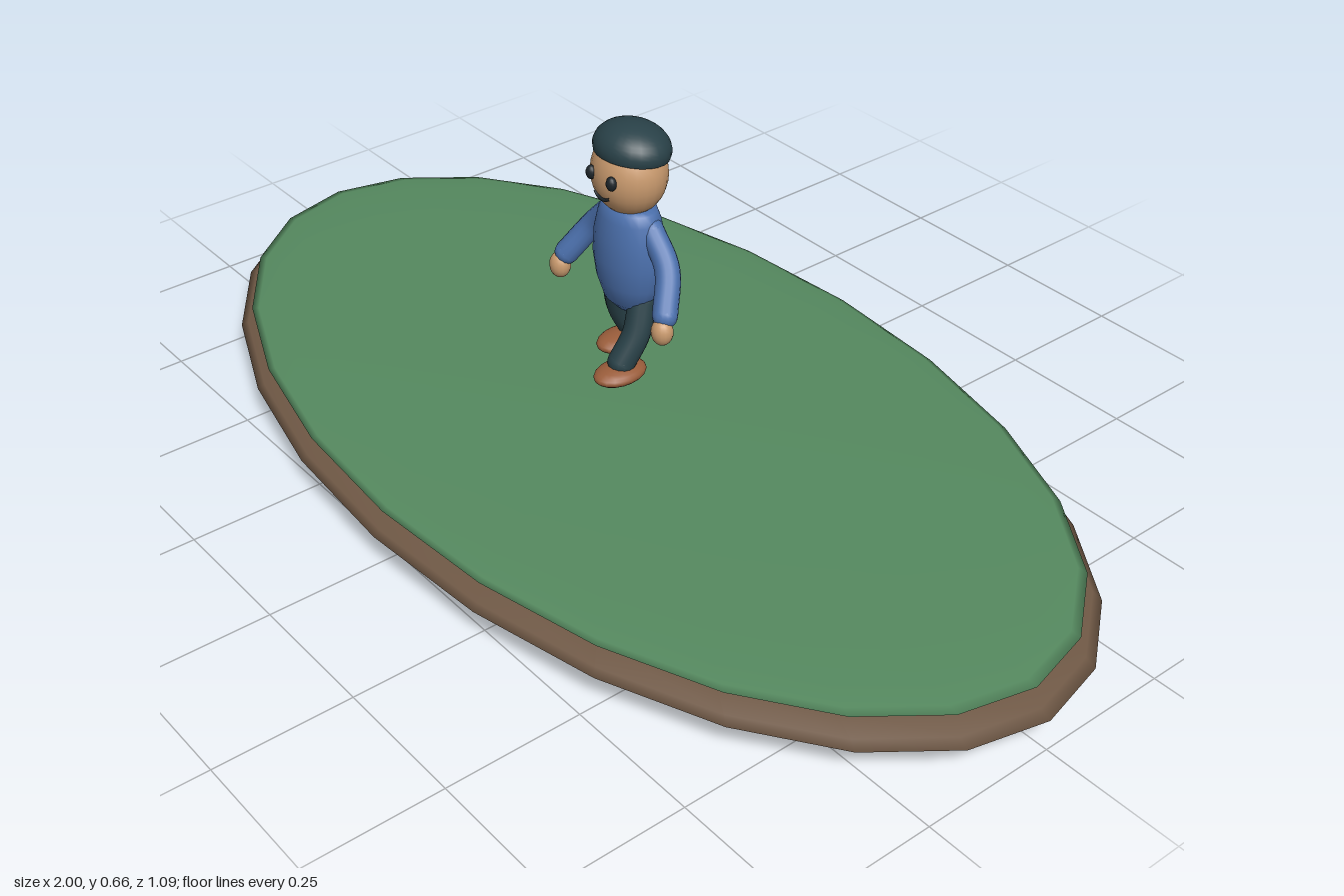
import * as THREE from 'three';

const mat = (name, color, side = THREE.FrontSide) => {
  const m = new THREE.MeshStandardMaterial({ color, side });
  m.name = name;
  return m;
};

export function createModel() {
  const model = new THREE.Group();
  model.name = 'figureOnIsland';
  const soil = mat('soilBrown', 0x6f5845);
  const grass = mat('grassGreen', 0x55895f);
  const skin = mat('skinTan', 0xc99a6e);
  const blue = mat('sweaterBlue', 0x4c71ae);
  const dark = mat('darkTeal', 0x294148, THREE.DoubleSide);
  const leather = mat('shoeBrown', 0x9a5d3b);
  const ink = mat('faceDark', 0x1d2429);

  const add = (name, geometry, material, pos = [0, 0, 0]) => {
    const mesh = new THREE.Mesh(geometry, material);
    mesh.name = name;
    mesh.position.set(...pos);
    model.add(mesh);
    return mesh;
  };
  const ellipsoid = (name, material, pos, radii, w = 24, h = 16) =>
    add(name, new THREE.SphereGeometry(1, w, h).scale(...radii), material, pos);
  // Curved limb with rounded ends
  const limb = (name, material, points, r) => {
    const curve = new THREE.CatmullRomCurve3(points.map(p => new THREE.Vector3(...p)));
    add(name, new THREE.TubeGeometry(curve, 14, r, 14), material);
    for (const p of [points[0], points[points.length - 1]])
      ellipsoid(name + 'End', material, p, [r, r, r], 14, 10);
  };

  // Two stacked, flattened discs of ground
  ellipsoid('soilDisc', soil, [0, 0.06, 0], [1, 0.058, 0.545]);
  ellipsoid('grassDisc', grass, [0, 0.104, 0], [0.968, 0.02, 0.525]);

  // Torso: barrel profile, shallower front to back
  const profile = [[0, 0.3], [0.03, 0.303], [0.053, 0.322], [0.068, 0.36], [0.075, 0.405],
    [0.072, 0.45], [0.064, 0.485], [0.056, 0.503], [0.045, 0.508], [0, 0.508]];
  const torso = new THREE.LatheGeometry(profile.map(p => new THREE.Vector2(...p)), 24);
  add('torso', torso.scale(1, 1, 0.73), blue);

  // Head and cap, the cap tipped slightly back
  ellipsoid('head', skin, [0, 0.567, 0], [0.07, 0.077, 0.064]);
  const capShape = new THREE.SphereGeometry(1, 24, 12, 0, Math.PI * 2, 0, Math.PI * 0.58);
  const cap = add('cap', capShape.scale(0.072, 0.046, 0.064), dark, [0, 0.611, -0.006]);
  cap.rotation.x = -0.12;

  // Smile
  const smile = new THREE.CatmullRomCurve3([-1, -0.5, 0, 0.5, 1].map(t =>
    new THREE.Vector3(t * 0.02, 0.533 + 0.007 * t * t, 0.0595 - 0.002 * t * t)));
  add('mouth', new THREE.TubeGeometry(smile, 12, 0.003, 6), ink);

  for (const s of [1, -1]) {
    const side = s > 0 ? 'left' : 'right';
    ellipsoid(side + 'Eye', ink, [s * 0.027, 0.573, 0.06], [0.01, 0.013, 0.009], 14, 10);
    limb(side + 'Arm', blue,
      [[s * 0.052, 0.472, -0.006], [s * 0.1, 0.42, -0.001], [s * 0.135, 0.358, 0.032]], 0.022);
    ellipsoid(side + 'Hand', skin, [s * 0.141, 0.334, 0.043], [0.02, 0.025, 0.019], 16, 12);
    // Walking stride: left leg forward, right leg back
    const ankle = s > 0 ? 0.048 : -0.04;
    limb(side + 'Leg', dark,
      [[s * 0.036, 0.33, 0], [s * 0.043, 0.272, ankle * 0.4], [s * 0.038, 0.222, ankle]], 0.025);
    ellipsoid(side + 'Shoe', leather, [s * 0.04, 0.204, s > 0 ? 0.053 : -0.016],
      [0.036, 0.017, 0.052], 18, 12);
  }
  return model;
}
